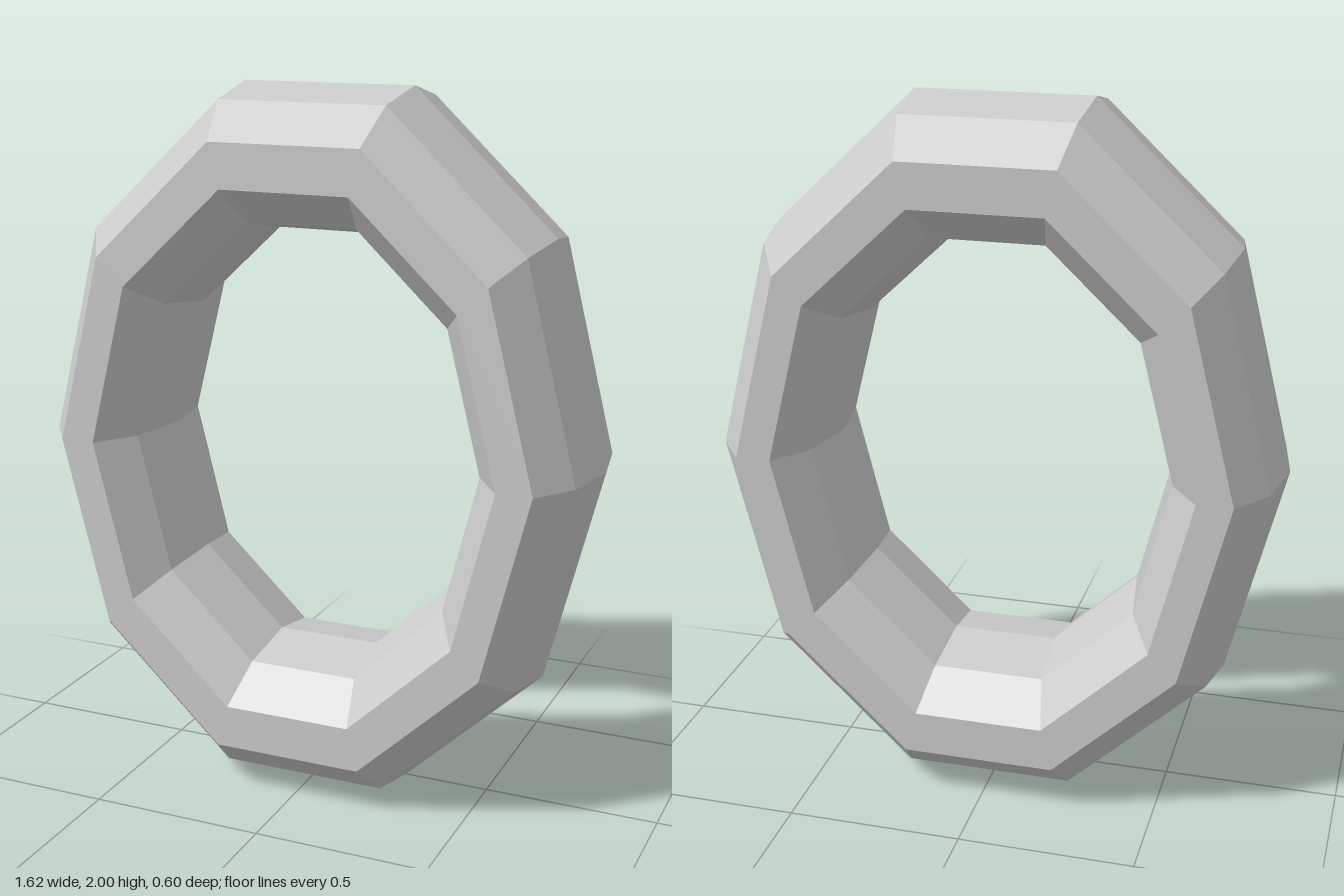
import * as THREE from 'three';

export function createModel() {
  const group = new THREE.Group();
  const s72 = Math.sin(Math.PI * 2 / 5);

  // Ten-sided ring with a ten-sided section, stretched into a tall oval
  const geometry = new THREE.TorusGeometry(0.8, 0.2, 10, 10);
  geometry.scale(0.81, 1 / s72, 0.3 / (0.2 * s72));
  geometry.translate(0, 1, 0);

  const ring = new THREE.Mesh(
    geometry,
    new THREE.MeshStandardMaterial({ color: 0xcccccc, flatShading: true })
  );
  ring.name = 'ovalRing';
  group.add(ring);
  return group;
}
